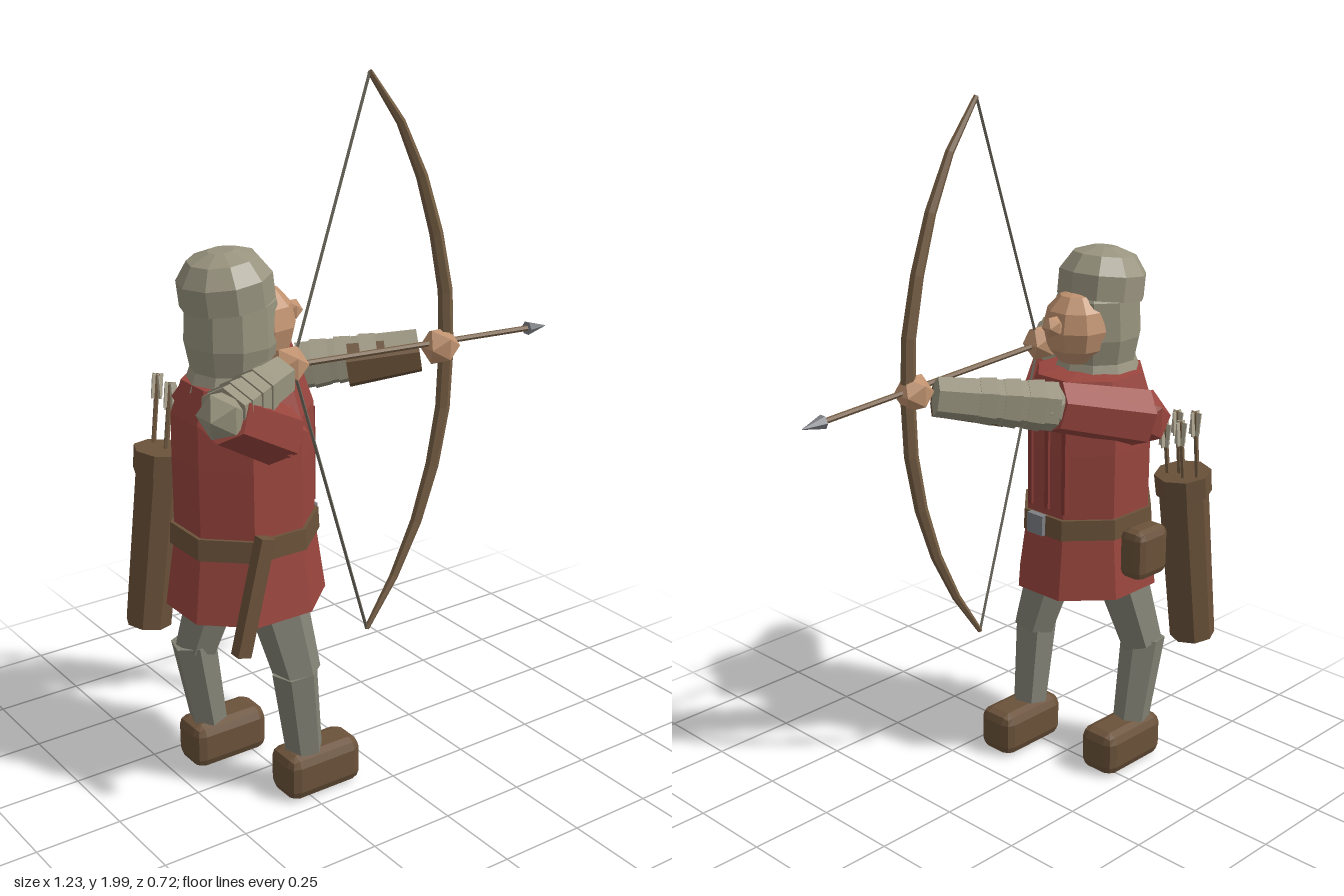
import * as THREE from 'three';
import { RoundedBoxGeometry } from 'three/addons/geometries/RoundedBoxGeometry.js';

const V = (x, y, z) => new THREE.Vector3(x, y, z);
const RED = 0x9a463e, DARKRED = 0x863a34, HOOD = 0x99947f, LEG = 0x838376, LEATHER = 0x6b523a;
const WOOD = 0x775f45, SKIN = 0xc0926f, STRING = 0x6f6c60, STEEL = 0x7d7f84, FEATHER = 0xb5ad98;

const mat = (color) => new THREE.MeshStandardMaterial({ color, flatShading: true, side: THREE.DoubleSide });

export function createModel() {
  const root = new THREE.Group();

  const add = (name, geo, color, pos, parent = root) => {
    const m = new THREE.Mesh(geo, mat(color));
    m.name = name;
    if (pos) m.position.copy(pos);
    parent.add(m);
    return m;
  };
  // Tapered prism running from a to b
  const limb = (name, a, b, ra, rb, color, sides = 6, parent = root) => {
    const d = b.clone().sub(a);
    const m = add(name, new THREE.CylinderGeometry(rb, ra, d.length(), sides), color, a.clone().lerp(b, 0.5), parent);
    m.quaternion.setFromUnitVectors(V(0, 1, 0), d.normalize());
    return m;
  };
  const ball = (name, r, color, pos, detail = 0) => add(name, new THREE.IcosahedronGeometry(r, detail), color, pos);
  const lathe = (name, pts, color, pos, sides) => add(name,
    new THREE.LatheGeometry(pts.map(([r, y]) => new THREE.Vector2(r, y)), sides, Math.PI / sides), color, pos);

  // Tunic, belt and buckle
  const bodyX = -0.325;
  const tunic = lathe('tunic', [[0, 0.57], [0.226, 0.57], [0.196, 0.78], [0.197, 1.0], [0.195, 1.12], [0.165, 1.21], [0, 1.23]],
    RED, V(bodyX, 0, 0), 8);
  tunic.scale.z = 0.92;
  const belt = lathe('belt', [[0.19, 0.75], [0.21, 0.75], [0.207, 0.81], [0.19, 0.81]], LEATHER, V(bodyX, 0, 0), 8);
  belt.scale.z = 0.92;
  add('buckle', new THREE.BoxGeometry(0.02, 0.06, 0.06), STEEL, V(-0.13, 0.78, 0.02));
  for (const z of [0.055, -0.01, -0.075]) {
    add('tunicFold', new THREE.BoxGeometry(0.02, 0.27, 0.014), DARKRED, V(-0.145, 0.965, z));
  }

  // Hood, cap, face and nose
  lathe('hood', [[0.13, 1.19], [0.112, 1.24], [0.126, 1.31], [0.12, 1.42], [0.07, 1.5], [0, 1.51]], HOOD, V(-0.355, 0, 0), 10);
  const cap = lathe('cap', [[0.115, -0.06], [0.126, -0.06], [0.126, 0.01], [0.092, 0.06], [0.035, 0.08], [0, 0.08]],
    HOOD, V(-0.372, 1.475, 0), 10);
  cap.rotation.z = 0.12;
  const face = add('face', new THREE.SphereGeometry(0.1, 9, 6), SKIN, V(-0.265, 1.34, 0));
  face.scale.set(0.95, 1.1, 0.98);
  ball('nose', 0.032, SKIN, V(-0.168, 1.36, 0));

  // Legs and boots: [z side, hip x, knee x, ankle x, boot x]
  for (const [s, hx, kx, ax, bx] of [[1, -0.3, -0.262, -0.24, -0.2], [-1, -0.35, -0.4, -0.37, -0.325]]) {
    const knee = V(kx, 0.375, s * 0.155);
    limb('thigh', V(hx, 0.62, s * 0.1), knee, 0.085, 0.066, LEG);
    limb('calf', V(kx - 0.01, 0.39, s * 0.155), V(ax, 0.13, s * 0.15), 0.066, 0.054, LEG);
    add('boot', new RoundedBoxGeometry(0.24, 0.135, 0.125, 1, 0.03), LEATHER, V(bx, 0.0675, s * 0.15));
  }

  // Arms: upper sleeve, forearm with gathered cuffs, hand
  const arm = (name, shoulder, elbow, wrist, hand, r) => {
    ball(name + 'Shoulder', 0.085, RED, shoulder);
    limb(name + 'UpperArm', shoulder, elbow, 0.085, 0.074, RED);
    ball(name + 'Elbow', 0.068, HOOD, elbow);
    limb(name + 'Forearm', elbow, wrist, 0.07, 0.056, HOOD);
    for (const t of [0.12, 0.32, 0.52]) {
      const r0 = 0.075 - 0.014 * t;
      limb(name + 'SleeveFold', elbow.clone().lerp(wrist, t), elbow.clone().lerp(wrist, t + 0.14), r0, r0 - 0.005, HOOD);
    }
    ball(name + 'Hand', r, SKIN, hand);
  };
  const bowElbow = V(-0.09, 1.165, -0.085), bowWrist = V(0.185, 1.215, 0.1);
  arm('bow', V(-0.335, 1.1, -0.19), bowElbow, bowWrist, V(0.225, 1.225, 0.143), 0.056);
  arm('draw', V(-0.32, 1.09, 0.15), V(-0.565, 1.235, 0.297), V(-0.32, 1.248, 0.165), V(-0.275, 1.265, 0.145), 0.055);
  const brace = V(-0.012, -0.012, 0.02);
  limb('bracer', bowElbow.clone().lerp(bowWrist, 0.4).add(brace), bowWrist.clone().add(brace), 0.064, 0.05, LEATHER);

  // Bow: a curved tube thinned toward both tips
  const bowZ = 0.145;
  const curve = new THREE.CatmullRomCurve3([[-0.02, 1.99], [0.1, 1.82], [0.18, 1.62], [0.235, 1.4], [0.245, 1.21],
    [0.235, 1.03], [0.18, 0.8], [0.09, 0.6], [-0.02, 0.435]].map(([x, y]) => V(x, y, bowZ)));
  const rings = 10, sides = 6;
  const bowGeo = new THREE.TubeGeometry(curve, rings, 0.021, sides);
  const p = bowGeo.attributes.position, v = V(0, 0, 0);
  for (let i = 0; i < p.count; i++) {
    const t = Math.floor(i / (sides + 1)) / rings;
    const c = curve.getPointAt(t);
    v.fromBufferAttribute(p, i).sub(c).multiplyScalar(1 - 0.65 * Math.abs(2 * t - 1) ** 2).add(c);
    p.setXYZ(i, v.x, v.y, v.z);
  }
  add('bow', bowGeo, WOOD);
  const nock = V(-0.262, 1.262, bowZ);
  for (const y of [1.99, 0.435]) limb('bowString', nock, V(-0.02, y, bowZ), 0.005, 0.005, STRING, 4);

  // Drawn arrow
  const tip = V(0.61, 1.215, 0.143), neck = V(0.54, 1.219, 0.143);
  limb('arrowShaft', nock, neck, 0.008, 0.008, WOOD);
  limb('arrowHead', neck, tip, 0.02, 0.001, STEEL);

  // Quiver with spare arrows
  const qBottom = V(-0.48, 0.415, -0.285), qTop = V(-0.42, 0.935, -0.275);
  limb('quiver', qBottom, qTop, 0.066, 0.072, LEATHER, 8);
  limb('quiverRim', qBottom.clone().lerp(qTop, 0.88), qTop.clone().lerp(qBottom, -0.004), 0.08, 0.082, LEATHER, 8);
  for (const [dx, dz, h] of [[0.0, -0.045, 0.2], [0.025, -0.015, 0.17], [0.005, 0.015, 0.19], [0.02, 0.045, 0.15]]) {
    const a = V(qTop.x + dx, 0.9, qTop.z + dz - 0.01), b = V(a.x + 0.025, qTop.y + h, a.z);
    limb('spareArrow', a, b, 0.007, 0.007, WOOD, 5);
    for (const turn of [0, Math.PI / 2]) {
      const f = add('fletching', new THREE.BoxGeometry(0.034, 0.07, 0.004), FEATHER, b.clone().add(V(-0.003, -0.035, 0)));
      f.rotation.set(0, turn, -0.1);
    }
  }

  // Belt pouch and dagger sheath
  add('pouch', new RoundedBoxGeometry(0.13, 0.15, 0.085, 1, 0.025), LEATHER, V(-0.32, 0.71, -0.222));
  const sheath = add('daggerSheath', new THREE.BoxGeometry(0.042, 0.33, 0.036), LEATHER, V(-0.43, 0.67, 0.2));
  sheath.rotation.z = -0.25;

  return root;
}
